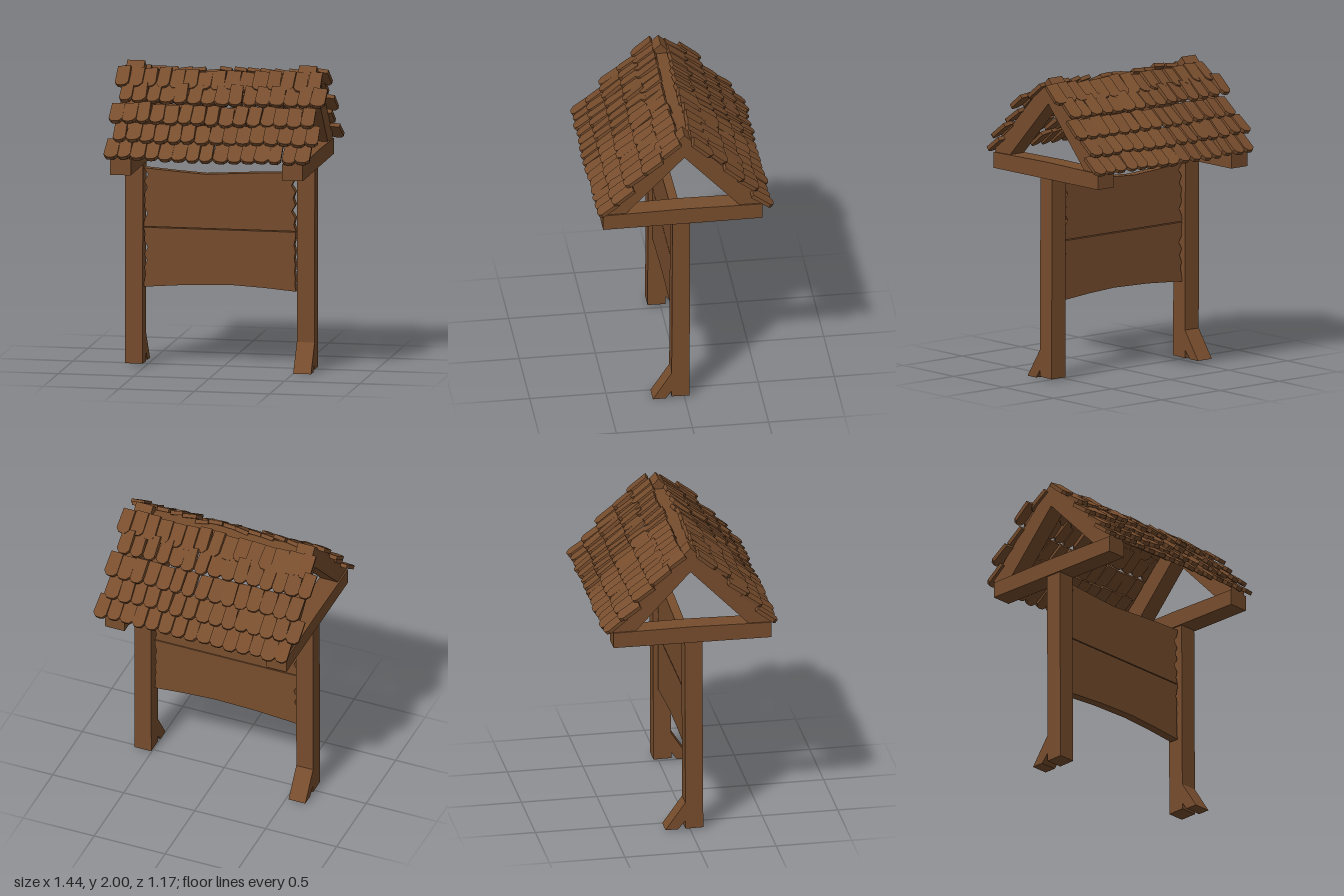
import * as THREE from 'three';

const wood = new THREE.MeshStandardMaterial({ color: 0x774d2d, flatShading: true });
wood.name = 'brown wood';

// Seeded random in -1..1 for hand-cut irregularity
function makeRandom(seed) {
  return () => {
    seed = (seed * 16807) % 2147483647;
    return (seed / 2147483647) * 2 - 1;
  };
}

function toShape(points) {
  return new THREE.Shape(points.map(([a, b]) => new THREE.Vector2(a, b)));
}

function add(group, name, geometry) {
  const mesh = new THREE.Mesh(geometry, wood);
  mesh.name = name;
  group.add(mesh);
  return mesh;
}

// Extrude a (z, y) side profile along x from x0 to x1
function sideProfile(points, x0, x1) {
  const g = new THREE.ExtrudeGeometry(toShape(points), { depth: x1 - x0, bevelEnabled: false });
  g.rotateY(-Math.PI / 2);
  g.translate(x1, 0, 0);
  return g;
}

// Post, crossbeam and gable rafters for one end
function makeEnd(name, x0, x1, braceFront) {
  const end = new THREE.Group();
  end.name = name;
  add(end, 'post', sideProfile([[-0.033, 0.01], [0.085, 0.012], [0.078, 1.34], [-0.038, 1.34]], x0, x1));
  add(end, 'crossbeam', sideProfile(
    [[-0.51, 1.335], [0.535, 1.33], [0.535, 1.435], [0, 1.445], [-0.51, 1.44]], x0 - 0.01, x1 + 0.01));
  add(end, 'gableRafters', sideProfile(
    [[0, 2], [-0.52, 1.47], [-0.51, 1.43], [-0.37, 1.43], [0, 1.83], [0.39, 1.43], [0.53, 1.43], [0.53, 1.47]], x0, x1));
  const brace = braceFront
    ? [[0.08, 0.06], [0.122, 0], [0.207, 0], [0.08, 0.195]]
    : [[-0.03, 0.07], [-0.03, 0.2], [-0.165, 0.01], [-0.082, 0.01]];
  add(end, 'footBrace', sideProfile(brace, x0, x1));
  return end;
}

// Notice board plank with ragged ends
function makePlank(yBottom, yTop, sagBottom, sagTop, random) {
  const left = -0.52, right = 0.487, steps = 9;
  const points = [[left, yBottom], [-0.22, yBottom + sagBottom * 0.75], [0.06, yBottom + sagBottom],
    [0.28, yBottom + sagBottom * 0.6], [right, yBottom]];
  const ragged = (x, inward, up) => {
    for (let i = 1; i < steps; i++) {
      const t = up ? i / steps : 1 - i / steps;
      const cut = i % 2 ? 0.018 + 0.012 * random() : 0.003;
      points.push([x + inward * cut, yBottom + (yTop - yBottom) * t]);
    }
  };
  ragged(right, -1, true);
  points.push([right, yTop], [0.28, yTop + sagTop * 0.25], [-0.11, yTop + sagTop], [-0.3, yTop + sagTop * 0.6], [left, yTop]);
  ragged(left, 1, false);
  const g = new THREE.ExtrudeGeometry(toShape(points), { depth: 0.06, bevelEnabled: false });
  g.translate(0, 0, -0.007);
  return g;
}

// One shingle: rounded tip at the origin, running uphill along +y
function makeShingle(w, l) {
  const h = w / 2;
  return new THREE.ExtrudeGeometry(toShape([
    [-h, 0.028], [-h * 0.55, 0.004], [0, 0], [h * 0.55, 0.004], [h, 0.028], [h * 0.94, l], [-h * 0.94, l],
  ]), { depth: 0.026, bevelEnabled: false });
}

// One roof slope facing +z
function makeSlope(name, seed) {
  const slope = new THREE.Group();
  slope.name = name;
  const random = makeRandom(seed);
  const tips = [[0.56, 1.435], [0.475, 1.54], [0.38, 1.645], [0.27, 1.765], [0.165, 1.845]];
  const count = 15, step = 0.0905;
  const shingles = [makeShingle(0.092, 0.165), makeShingle(0.099, 0.16), makeShingle(0.086, 0.17)];
  tips.forEach(([z, y], row) => {
    const shift = row % 2 ? 0.034 : -0.01;
    for (let i = 0; i < count; i++) {
      const x = (i - (count - 1) / 2) * step + shift;
      const g = shingles[Math.floor((random() + 1) * 1.499)];
      const shingle = add(slope, 'shingle', g);
      const sag = 0.01 * (1 - Math.min(1, Math.abs(x) / 0.6));
      shingle.position.set(x, y - sag + random() * 0.005, z + random() * 0.007);
      // laid flatter than the roof pitch, rolled slightly so neighbours overlap
      const roll = (x < 0 ? -1 : 1) * 0.12 + random() * 0.08;
      shingle.rotation.set(-0.92 + random() * 0.05, roll, random() * 0.04);
    }
  });
  return slope;
}

export function createModel() {
  const model = new THREE.Group();
  model.name = 'roofedNoticeBoard';

  // Two end frames
  model.add(makeEnd('leftEnd', 0.5, 0.618, true));
  model.add(makeEnd('rightEnd', -0.64, -0.522, false));

  // Board made of two planks with a narrow gap
  const random = makeRandom(77);
  add(model, 'lowerPlank', makePlank(0.515, 0.907, 0.03, 0, random));
  add(model, 'upperPlank', makePlank(0.913, 1.3, 0, -0.03, random));

  // Ridge beam, sagging slightly in the middle
  const ridge = new THREE.BoxGeometry(1.03, 0.09, 0.125, 6, 1, 1);
  const p = ridge.attributes.position;
  for (let i = 0; i < p.count; i++) {
    const bend = 1 - Math.pow(p.getX(i) / 0.515, 2);
    p.setY(i, p.getY(i) - 0.012 * bend);
    p.setZ(i, p.getZ(i) + 0.008 * Math.sin(p.getX(i) * 6));
  }
  ridge.translate(-0.01, 1.885, 0.003);
  add(model, 'ridgeBeam', ridge);

  // Shingled roof, the back slope turned half round
  model.add(makeSlope('frontRoof', 1234));
  const back = makeSlope('backRoof', 4321);
  back.rotation.y = Math.PI;
  model.add(back);

  return model;
}
